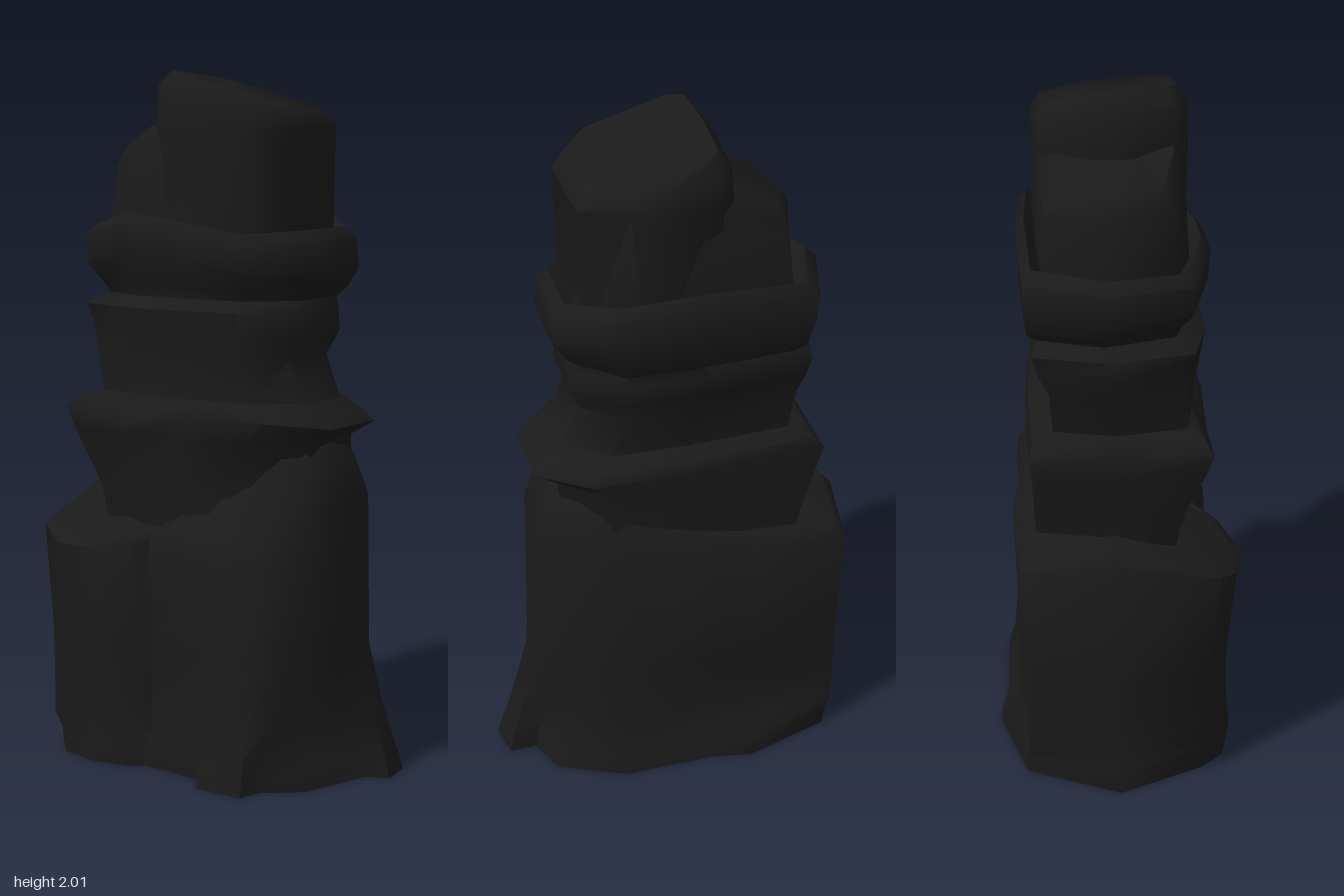
import * as THREE from 'three';
import { toCreasedNormals } from 'three/addons/utils/BufferGeometryUtils.js';

const rock = new THREE.MeshStandardMaterial({ color: 0x1a1a1a });
const mix = THREE.MathUtils.lerp;

// Skins a stack of equal-length rings of [x, y, z] and closes both ends.
function loft(name, rings, topDip = 0) {
  const n = rings[0].length;
  const pos = rings.flat(2);
  const index = [];
  for (let r = 0; r < rings.length - 1; r++) {
    for (let i = 0; i < n; i++) {
      const a = r * n + i, b = r * n + (i + 1) % n;
      index.push(a, a + n, b, b, a + n, b + n);
    }
  }
  const centre = (ring, dip) => {
    for (let k = 0; k < 3; k++) {
      pos.push(ring.reduce((s, p) => s + p[k], 0) / n - (k === 1 ? dip : 0));
    }
    return pos.length / 3 - 1;
  };
  const bottom = centre(rings[0], 0);
  const top = centre(rings[rings.length - 1], topDip);
  const last = (rings.length - 1) * n;
  for (let i = 0; i < n; i++) {
    const j = (i + 1) % n;
    index.push(bottom, i, j, top, last + j, last + i);
  }
  const geo = new THREE.BufferGeometry();
  geo.setAttribute('position', new THREE.Float32BufferAttribute(pos, 3));
  geo.setIndex(index);
  const mesh = new THREE.Mesh(toCreasedNormals(geo, 1), rock);
  mesh.name = name;
  return mesh;
}

// Wide lower block: flared foot outline, pinched wall, overhanging rim, shelf running in to the column
function lowerBlock() {
  const foot = [
    [-0.55, -0.02], [-0.43, -0.29], [-0.17, -0.365], [-0.06, -0.34], [0.22, -0.335],
    [0.41, -0.24], [0.45, -0.13], [0.53, -0.13], [0.545, -0.03], [0.48, 0],
    [0.41, 0.21], [0.31, 0.29], [0.29, 0.36], [0.14, 0.36], [0.1, 0.29],
    [-0.1, 0.27], [-0.13, 0.3], [-0.26, 0.32], [-0.38, 0.29], [-0.44, 0.225],
  ];
  const rim = [
    [-0.51, 0.75, -0.06], [-0.47, 0.72, -0.3], [-0.19, 0.75, -0.315], [-0.08, 0.77, -0.3],
    [0.18, 0.78, -0.295], [0.34, 0.79, -0.22], [0.405, 0.8, -0.13], [0.41, 0.8, -0.09],
    [0.415, 0.8, -0.03], [0.41, 0.8, 0.05], [0.39, 0.76, 0.14], [0.33, 0.66, 0.22],
    [0.27, 0.6, 0.26], [0.16, 0.61, 0.27], [0.08, 0.64, 0.265], [-0.1, 0.67, 0.25],
    [-0.13, 0.66, 0.29], [-0.26, 0.645, 0.335], [-0.38, 0.64, 0.32], [-0.47, 0.68, 0.265],
  ];
  // Blend from foot to rim: left wall, right wall and the two narrow spurs
  const level = (y, left, right, spur, pinch = 1) => foot.map(([x, z], i) => {
    const t = [7, 8, 12, 13].includes(i) ? spur : x < 0 ? left : right;
    return [mix(x, rim[i][0], t), y, mix(z, rim[i][2], t) * (x < 0 ? pinch : 1)];
  });
  const rise = (x) => THREE.MathUtils.smoothstep(x, -0.1, 0.36);
  const frontDrop = (z) => 0.07 * THREE.MathUtils.smoothstep(z, 0, 0.25);
  const lip = rim.map(([x, y, z]) =>
    [x * mix(0.95, 0.9, rise(x)), y + mix(0.03, 0.12, rise(x)), z * 0.88]);
  const shelf = rim.map(([x, , z]) =>
    [x * mix(0.68, 0.83, rise(x)), mix(0.77 - frontDrop(z), 0.96, rise(x)), z * 0.55]);
  return loft('lowerBlock', [
    level(0, 0, 0, 0), level(0.05, 0.1, 0.15, 0.1), level(0.1, 0.7, 0.5, 0.25, 0.95),
    level(0.2, 0.75, 0.7, 0.5, 0.93), level(0.36, 0.8, 0.82, 0.82, 0.93), rim, lip, shelf,
  ]);
}

// Banded column: one ten-sided outline stretched to the extents of every level
function column() {
  const outline = [
    [-1, -0.1], [-0.82, -0.95], [0, -1], [0.65, -0.95], [1, -0.45],
    [0.98, 0.4], [0.62, 0.9], [0.05, 1], [-0.45, 1], [-0.83, 0.8],
  ];
  const flat = outline.map(() => 0);
  const lowWave = [0.02, 0.01, 0, 0, -0.01, -0.01, 0.01, 0.01, -0.03, 0.01];
  const highWave = [-0.01, 0, 0.02, 0.01, -0.02, -0.02, -0.03, 0, 0.02, -0.02];
  // "square" pushes the left corners out towards a box
  const band = (y, x0, x1, z0, z1, wave = flat, square = 0) => outline.map(([u, v], i) => {
    const s = i === 1 || i === 9 ? square : 0;
    return [
      mix(x0, x1, (mix(u, -1, s) + 1) / 2), y + wave[i], mix(z0, z1, (mix(v, Math.sign(v), s) + 1) / 2),
    ];
  });
  const shoulder = (y, ...ext) => band(y, ...ext).map(([x, , z]) =>
    [x, y + 0.1 * THREE.MathUtils.smoothstep(x, -0.33, -0.08), z]);
  return loft('column', [
    band(0.62, -0.37, 0.34, -0.25, 0.18),
    band(0.8, -0.375, 0.34, -0.26, 0.19, flat, 0.4),
    // lower collar
    band(0.97, -0.4, 0.35, -0.26, 0.235, flat, 0.8),
    band(1.025, -0.4, 0.425, -0.27, 0.245, lowWave, 1),
    band(1.06, -0.37, 0.38, -0.26, 0.225, lowWave, 0.9),
    band(1.08, -0.35, 0.33, -0.205, 0.2, flat, 0.4),
    // waist and thin band
    band(1.2, -0.38, 0.28, -0.215, 0.21, flat, 0.2),
    band(1.27, -0.41, 0.31, -0.25, 0.22),
    band(1.335, -0.41, 0.3, -0.265, 0.23, flat, 0.2),
    band(1.365, -0.37, 0.29, -0.255, 0.185),
    // upper collar
    band(1.395, -0.4, 0.32, -0.28, 0.19),
    band(1.47, -0.43, 0.36, -0.285, 0.235, highWave),
    band(1.555, -0.435, 0.35, -0.29, 0.24, highWave),
    band(1.585, -0.4, 0.32, -0.265, 0.215, highWave),
    band(1.54, -0.365, 0.28, -0.235, 0.185),
    // shoulder below the peak
    shoulder(1.73, -0.345, 0.26, -0.225, 0.17),
    shoulder(1.775, -0.32, 0.22, -0.19, 0.14),
  ]);
}

// Taller peak standing on the right of the shoulder, its top falling to the right and back
function peak() {
  const plan = [
    [-0.14, -0.19], [-0.1, -0.225], [0.11, -0.24], [0.28, -0.14], [0.285, 0.09],
    [0.19, 0.175], [-0.09, 0.185], [-0.14, 0.15], [-0.15, -0.02],
  ];
  const ring = (scale, y, fall, lean = 0) => plan.map(([x, z]) => [
    mix(0.07, x, scale) + lean, y - fall * ((x + 0.1) * 0.22 + (0.15 - z) * 0.09), mix(-0.03, z, scale),
  ]);
  return loft('peak', [
    ring(0.98, 1.5, 0), ring(1, 1.84, 0), ring(0.99, 1.955, 1, 0.005), ring(0.86, 1.998, 1, 0.01),
  ], 0.015);
}

export function createModel() {
  const group = new THREE.Group();
  group.name = 'rockPillar';
  group.add(lowerBlock(), column(), peak());
  return group;
}
